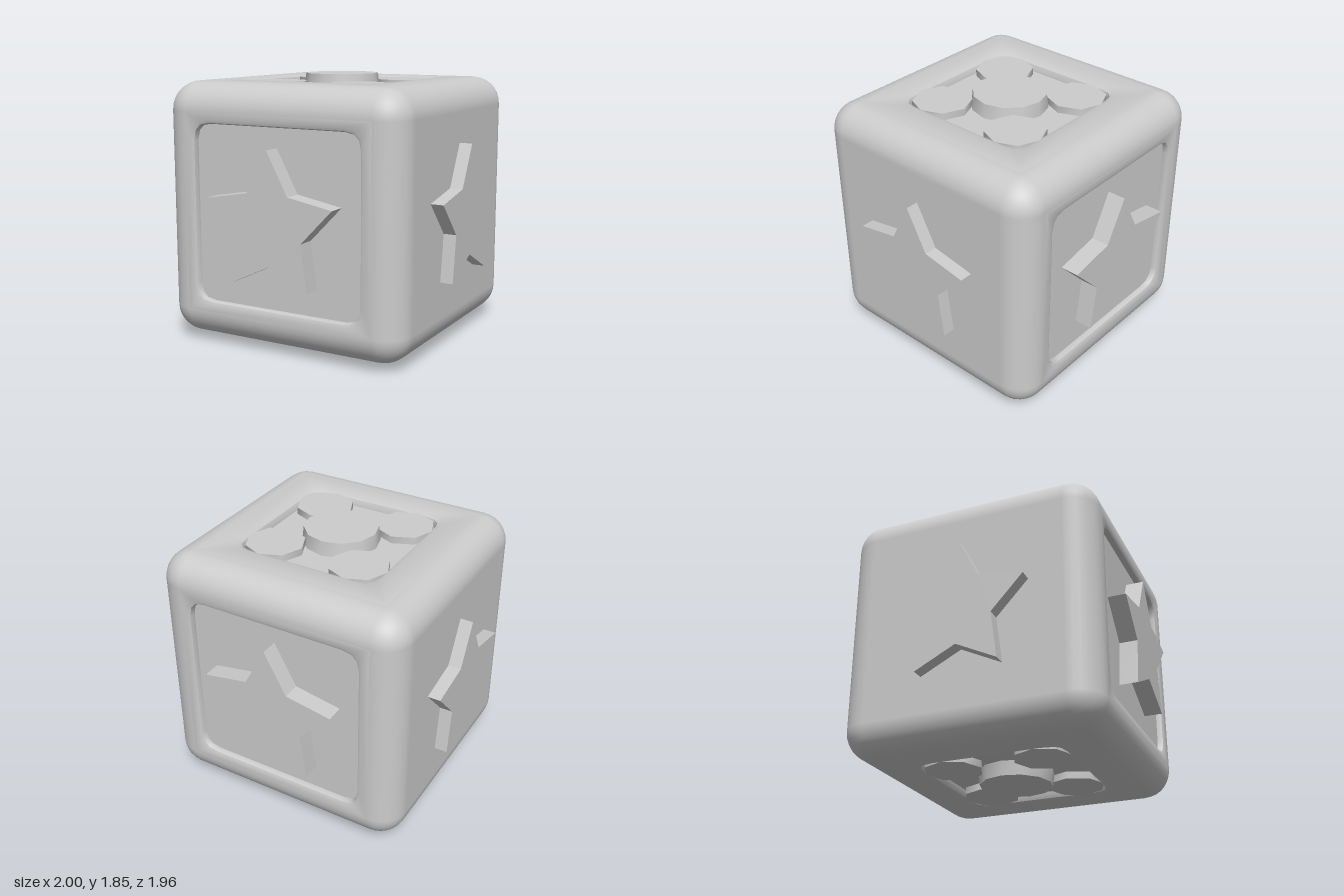
import * as THREE from 'three';
import { RoundedBoxGeometry } from 'three/addons/geometries/RoundedBoxGeometry.js';
import { toCreasedNormals } from 'three/addons/utils/BufferGeometryUtils.js';

const HX = 0.91, HY = 0.885, HZ = 0.9, R = 0.2; // body half sizes and edge radius
const grey = new THREE.MeshStandardMaterial({ color: 0xcccccc });

function part(name, geometry, parent, z = 0) {
  const mesh = new THREE.Mesh(geometry, grey);
  mesh.name = name;
  mesh.position.z = z;
  parent.add(mesh);
  return mesh;
}

// Rounded cube shell without its flat top, bottom, front and back
function shellGeometry() {
  const box = new RoundedBoxGeometry(HX * 2, HY * 2, HZ * 2, 4, R).toNonIndexed();
  const p = box.attributes.position, n = box.attributes.normal;
  const pos = [], nor = [];
  for (let i = 0; i < p.count; i += 3) {
    const ids = [i, i + 1, i + 2];
    const flat = ids.every(k => Math.abs(n.getY(k)) > 0.999) || ids.every(k => Math.abs(n.getZ(k)) > 0.999);
    if (flat) continue;
    for (const k of ids) {
      pos.push(p.getX(k), p.getY(k), p.getZ(k));
      nor.push(n.getX(k), n.getY(k), n.getZ(k));
    }
  }
  const g = new THREE.BufferGeometry();
  g.setAttribute('position', new THREE.Float32BufferAttribute(pos, 3));
  g.setAttribute('normal', new THREE.Float32BufferAttribute(nor, 3));
  return g;
}

// Rectangle outline with soft corners of size c
function outline(path, w, h, c) {
  path.moveTo(-w + c, -h);
  path.lineTo(w - c, -h);
  path.quadraticCurveTo(w, -h, w, -h + c);
  path.lineTo(w, h - c);
  path.quadraticCurveTo(w, h, w - c, h);
  path.lineTo(-w + c, h);
  path.quadraticCurveTo(-w, h, -w, h - c);
  path.lineTo(-w, -h + c);
  path.quadraticCurveTo(-w, -h, -w + c, -h);
  return path;
}

// Flat face with a bevelled opening; its outer surface lies at z = 0
function frameGeometry(w, h, openW, openH, corner, bevel, drop) {
  const shape = new THREE.Shape([[-w, -h], [w, -h], [w, h], [-w, h]].map(a => new THREE.Vector2(...a)));
  shape.holes.push(outline(new THREE.Path(), openW + bevel, openH + bevel, corner));
  const g = new THREE.ExtrudeGeometry(shape, {
    depth: 0.05, bevelThickness: drop, bevelSize: bevel, bevelSegments: 2, curveSegments: 3
  });
  g.translate(0, 0, -0.05 - drop);
  return toCreasedNormals(g, 0.7);
}

function starGeometry(depth, squeeze = 1) {
  const points = [];
  for (let i = 0; i < 10; i++) {
    const r = i % 2 ? 0.262 : 0.5, a = Math.PI / 2 + i * Math.PI / 5;
    points.push(new THREE.Vector2(Math.cos(a) * r * squeeze, Math.sin(a) * r - 0.025));
  }
  return new THREE.ExtrudeGeometry(new THREE.Shape(points), { depth, bevelEnabled: false });
}

// Disc standing along z, its outer end at z = 0
function discGeometry(rTop, rBase, height, sides) {
  return toCreasedNormals(new THREE.CylinderGeometry(rTop, rBase, height, sides)
    .rotateX(Math.PI / 2).translate(0, 0, -height / 2), 0.9);
}

export function createModel() {
  const model = new THREE.Group();
  model.name = 'starCube';
  const cube = new THREE.Group();
  cube.name = 'cube';
  cube.position.y = 0.925;
  model.add(cube);
  part('roundedBody', shellGeometry(), cube);

  for (const s of [1, -1]) {
    // Front and back: framed panel with a raised star
    const panelSide = new THREE.Group();
    panelSide.name = s > 0 ? 'frontFace' : 'backFace';
    panelSide.rotation.y = s > 0 ? 0 : Math.PI;
    part('panelFrame', frameGeometry(HX - R, HY - R, 0.63, 0.61, 0.14, 0.025, 0.025), panelSide, HZ);
    part('panel', new THREE.BoxGeometry(1.32, 1.28, 0.05), panelSide, 0.83);
    part('panelStar', starGeometry(0.13, 1.01), panelSide, 0.85);
    cube.add(panelSide);

    // Left and right: plain face with a raised star
    const starSide = new THREE.Group();
    starSide.name = s > 0 ? 'leftFace' : 'rightFace';
    starSide.rotation.y = s * Math.PI / 2;
    part('sideStar', starGeometry(0.11, 0.97), starSide, 0.89);
    cube.add(starSide);

    // Top and bottom: shallow tray with four buttons around a stud
    const buttonSide = new THREE.Group();
    buttonSide.name = s > 0 ? 'topFace' : 'bottomFace';
    buttonSide.rotation.x = -s * Math.PI / 2;
    part('trayFrame', frameGeometry(HX - R, HZ - R, 0.5, 0.5, 0.16, 0.05, 0.05), buttonSide, HY);
    part('trayFloor', new THREE.BoxGeometry(1.08, 1.08, 0.04), buttonSide, HY - 0.08);
    for (const x of [-0.32, 0.32]) {
      for (const y of [-0.325, 0.325]) {
        const button = part('button', discGeometry(0.205, 0.205, 0.1, 8), buttonSide, HY - 0.01);
        button.position.x = x;
        button.position.y = y;
      }
    }
    part('centreStud', discGeometry(0.255, 0.27, 0.13, 12), buttonSide, 0.925);
    cube.add(buttonSide);
  }
  return model;
}
